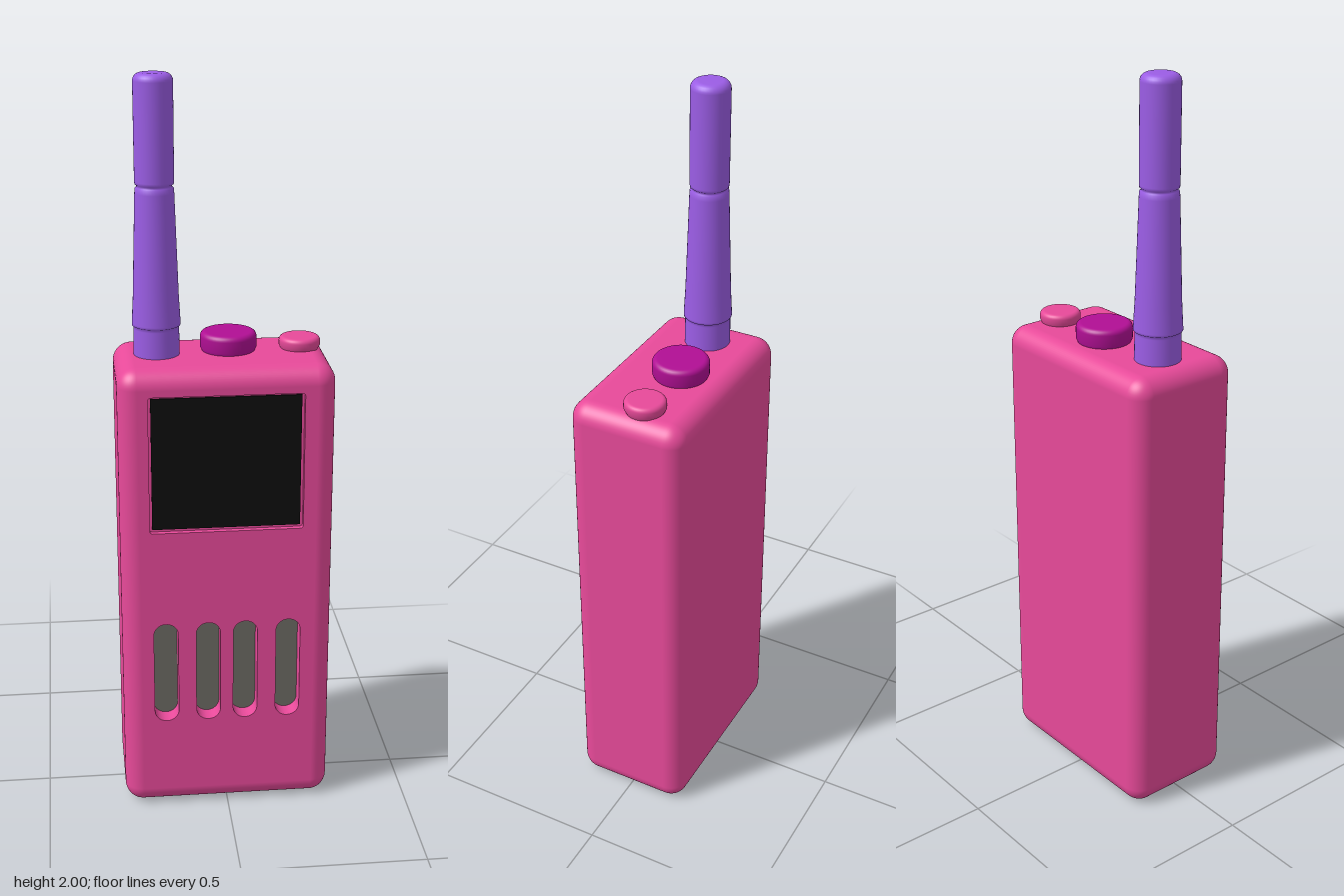
import * as THREE from 'three';
import { RoundedBoxGeometry } from 'three/addons/geometries/RoundedBoxGeometry.js';

const W = 0.57, H = 1.274, D = 0.326, R = 0.05;
const FRONT = D / 2, RECESS = 0.05;

const mat = (name, color) => {
  const m = new THREE.MeshStandardMaterial({ color });
  m.name = name;
  return m;
};

function add(group, name, geometry, material, x = 0, y = 0, z = 0) {
  const mesh = new THREE.Mesh(geometry, material);
  mesh.name = name;
  mesh.position.set(x, y, z);
  group.add(mesh);
  return mesh;
}

// Rounded rectangle outline, centred on (cx, cy)
function roundRect(target, cx, cy, w, h, r) {
  const x = w / 2 - r, y = h / 2 - r;
  target.absarc(cx + x, cy + y, r, 0, Math.PI / 2);
  target.absarc(cx - x, cy + y, r, Math.PI / 2, Math.PI);
  target.absarc(cx - x, cy - y, r, Math.PI, Math.PI * 1.5);
  target.absarc(cx + x, cy - y, r, Math.PI * 1.5, Math.PI * 2);
  target.closePath();
  return target;
}

// Rounded box without its flat front, which the pierced front plate replaces
function shellGeometry() {
  const box = new RoundedBoxGeometry(W, H, D, 6, R);
  const p = box.attributes.position, n = box.attributes.normal;
  const pos = [], nor = [];
  for (let i = 0; i < p.count; i += 3) {
    const ids = [i, i + 1, i + 2];
    if (ids.every(k => p.getZ(k) > FRONT - 1e-5)) continue;
    for (const k of ids) {
      pos.push(p.getX(k), p.getY(k), p.getZ(k));
      nor.push(n.getX(k), n.getY(k), n.getZ(k));
    }
  }
  const g = new THREE.BufferGeometry();
  g.setAttribute('position', new THREE.Float32BufferAttribute(pos, 3));
  g.setAttribute('normal', new THREE.Float32BufferAttribute(nor, 3));
  return g;
}

// Turned cap with a rounded rim
function capGeometry(radius, height, round) {
  const pts = [new THREE.Vector2(radius - 0.006, 0), new THREE.Vector2(radius, 0.012)];
  for (let i = 0; i <= 6; i++) {
    const a = (i / 6) * Math.PI / 2;
    pts.push(new THREE.Vector2(radius - round + round * Math.cos(a), height - round + round * Math.sin(a)));
  }
  pts.push(new THREE.Vector2(radius * 0.5, height), new THREE.Vector2(0, height));
  return new THREE.LatheGeometry(pts, 48);
}

export function createModel() {
  const root = new THREE.Group();
  root.name = 'handheldRadio';
  const pink = mat('pink casing', 0xe84a9a);
  const magenta = mat('magenta knob', 0xb10f94);
  const purple = mat('purple antenna', 0x9b5de5);
  const black = mat('black screen', 0x0d0d0d);
  const grey = mat('grey grille', 0x6b6963);

  // Casing
  const casing = new THREE.Group();
  casing.name = 'casing';
  root.add(casing);
  add(casing, 'shell', shellGeometry(), pink, 0, H / 2, 0);

  // Front plate with screen opening and speaker slots
  const slots = [-0.168, -0.053, 0.048, 0.165];
  const slotY = 0.413, slotW = 0.066, slotH = 0.295;
  const screen = { x: -0.003, y: 1.017, w: 0.394, h: 0.364 };
  const plate = new THREE.Shape();
  const px = W / 2 - R;
  plate.moveTo(-px, R).lineTo(px, R).lineTo(px, H - R).lineTo(-px, H - R).closePath();
  plate.holes.push(roundRect(new THREE.Path(), screen.x, screen.y, screen.w + 0.014, screen.h + 0.014, 0.008));
  for (const x of slots) plate.holes.push(roundRect(new THREE.Path(), x, slotY, slotW, slotH, slotW / 2 - 0.001));
  add(casing, 'frontPlate',
    new THREE.ExtrudeGeometry(plate, { depth: RECESS, bevelEnabled: false, curveSegments: 10 }),
    pink, 0, 0, FRONT - RECESS);

  // Screen in its shallow recess
  add(casing, 'screenBed', new THREE.BoxGeometry(screen.w + 0.03, screen.h + 0.03, 0.02), pink,
    screen.x, screen.y, FRONT - 0.025);
  add(casing, 'screen', new THREE.BoxGeometry(screen.w, screen.h, 0.006), black,
    screen.x, screen.y, FRONT - 0.014);

  // Speaker backing seen through the slots
  add(casing, 'speakerGrille', new THREE.BoxGeometry(0.44, 0.34, 0.008), grey,
    0, slotY, FRONT - RECESS - 0.003);

  // Antenna: tapered base, groove, straight tip with a rounded end
  const profile = [
    [0.061, 0], [0.06, 0.075], [0.06, 0.082], [0.064, 0.084], [0.064, 0.09],
    [0.06, 0.16], [0.051, 0.43], [0.05, 0.442], [0.046, 0.445], [0.046, 0.45],
    [0.05, 0.453], [0.051, 0.46], [0.051, 0.71],
  ].map(([x, y]) => new THREE.Vector2(x, y));
  for (let i = 1; i <= 6; i++) {
    const a = (i / 6) * Math.PI / 2;
    profile.push(new THREE.Vector2(0.031 + 0.02 * Math.cos(a), 0.71 + 0.02 * Math.sin(a)));
  }
  profile.push(new THREE.Vector2(0, 0.73));
  add(root, 'antenna', new THREE.LatheGeometry(profile, 40), purple, -0.172, 1.27, -0.007);

  // Top controls
  add(root, 'knob', capGeometry(0.075, 0.055, 0.014), magenta, 0.02, 1.27, -0.028);
  add(root, 'button', capGeometry(0.055, 0.036, 0.012), pink, 0.211, 1.27, -0.028);
  return root;
}
